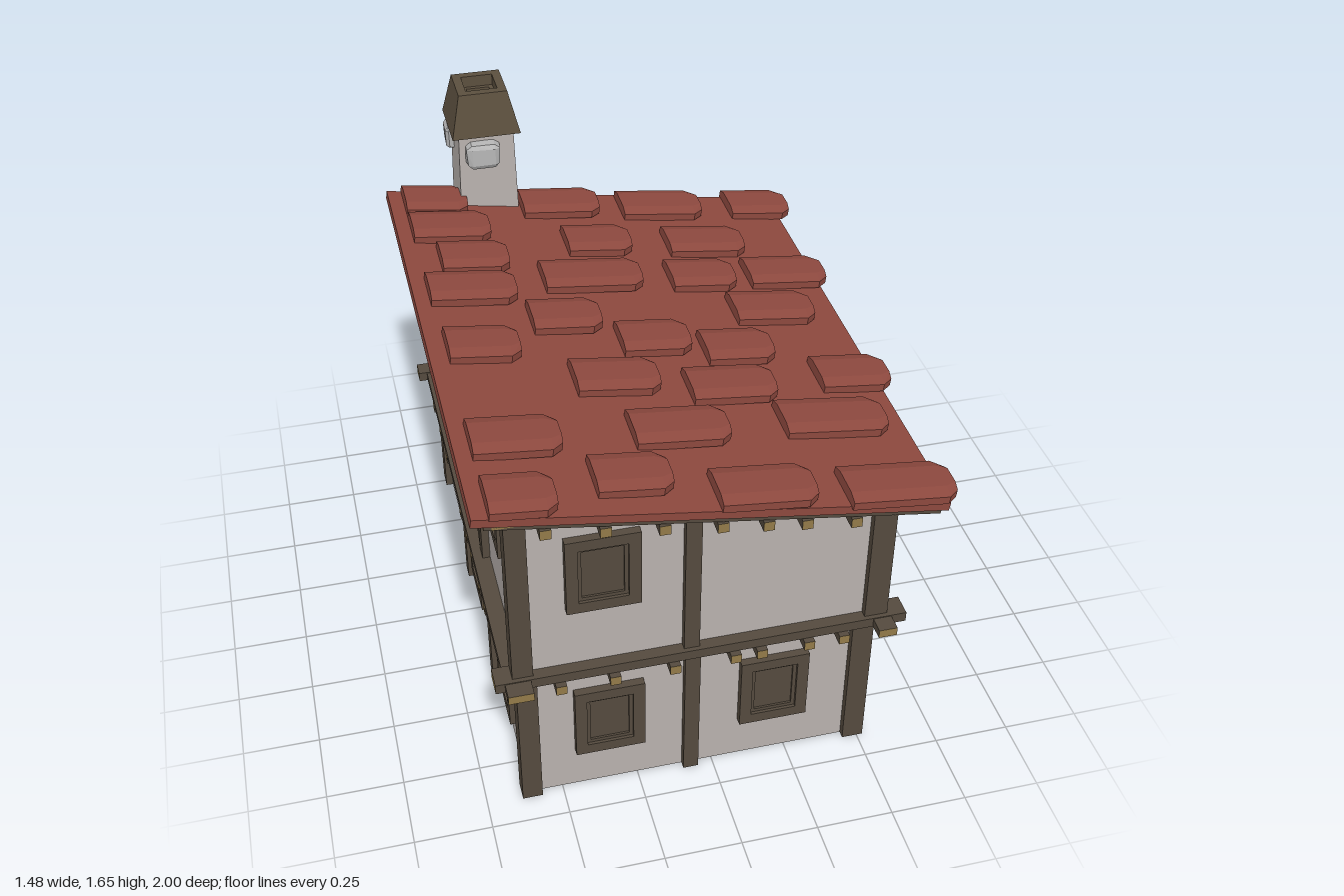
import * as THREE from 'three';
import { ConvexGeometry } from 'three/addons/geometries/ConvexGeometry.js';

const mat = (name, color, extra = {}) => Object.assign(new THREE.MeshStandardMaterial({ color, flatShading: true, ...extra }), { name });

export function createModel() {
  const house = new THREE.Group();
  house.name = 'timberHouse';
  const plaster = mat('plaster', 0xb8b1ad);
  const wood = mat('darkTimber', 0x544a3e);
  const endGrain = mat('endGrain', 0x927a48);
  const roofRed = mat('roofTile', 0x8c483e);
  const stone = mat('stone', 0xb6b6b6);
  const capBrown = mat('chimneyCap', 0x5b4f3e);
  const iron = mat('iron', 0x2c2721);

  let seed = 7;
  const rand = () => (seed = (seed * 16807) % 2147483647) / 2147483647;

  const add = (name, geometry, material, parent = house) => {
    const m = new THREE.Mesh(geometry, material);
    m.name = name;
    parent.add(m);
    return m;
  };
  // Box from its limits
  const box = (name, x0, x1, y0, y1, z0, z1, material = wood, parent = house) => {
    const m = add(name, new THREE.BoxGeometry(x1 - x0, y1 - y0, z1 - z0), material, parent);
    m.position.set((x0 + x1) / 2, (y0 + y1) / 2, (z0 + z1) / 2);
    return m;
  };
  const endsX = [endGrain, endGrain, wood, wood, wood, wood];
  const endsZ = [wood, wood, wood, wood, endGrain, endGrain];
  const slope = 0.16, tilt = -Math.atan(slope);
  const underRoof = (x) => 1.122 - slope * x;
  const polygon = (pts) => new THREE.Shape(pts.map(([x, y]) => new THREE.Vector2(x, y)));
  const extrude = (shape, depth) => new THREE.ExtrudeGeometry(shape, { depth, bevelEnabled: false });

  // Walls
  for (const [z, side] of [[0.865, 'front'], [-0.755, 'back']]) {
    box(side + 'LowerWall', -0.61, 0.5, 0, 0.53, z, z + 0.02, plaster);
    const gable = polygon([[-0.615, 0.53], [0.54, 0.53], [0.54, underRoof(0.54)], [-0.615, underRoof(-0.615)]]);
    add(side + 'UpperWall', extrude(gable, 0.02), plaster).position.z = z;
  }
  box('leftLowerWall', -0.61, -0.59, 0, 0.53, -0.755, 0.885, plaster);
  box('leftUpperWall', -0.615, -0.595, 0.53, 1.21, -0.755, 0.885, plaster);
  box('rightLowerWall', 0.48, 0.5, 0, 0.53, -0.755, 0.885, plaster);
  box('rightUpperWall', 0.52, 0.54, 0.53, 1.03, -0.755, 0.885, plaster);

  // Posts on the front and back
  for (const [z0, z1] of [[0.845, 0.91], [-0.785, -0.72]]) {
    box('lowerPost', -0.635, -0.57, 0, 0.52, z0, z1);
    box('lowerPost', -0.1, -0.05, 0, 0.52, z0, z1);
    box('lowerPost', 0.45, 0.52, 0, 0.52, z0, z1);
    box('upperPost', -0.645, -0.58, 0.54, 1.21, z0, z1);
    box('upperPost', -0.105, -0.055, 0.54, 1.12, z0, z1);
    box('upperPost', 0.485, 0.56, 0.54, 1.03, z0, z1);
  }
  // Posts on the long sides
  box('rightLowerPost', 0.47, 0.52, 0, 0.52, 0.325, 0.375);
  for (const z of [0.325, -0.205, 0.605, -0.47]) box('rightUpperPost', 0.51, 0.558, 0.54, 1.03, z - 0.025, z + 0.025);
  for (const z of [0.32, -0.2]) {
    box('leftLowerPost', -0.635, -0.59, 0, 0.52, z - 0.025, z + 0.025);
    box('leftUpperPost', -0.64, -0.59, 0.54, 1.21, z - 0.025, z + 0.025);
  }
  box('leftUpperPost', -0.64, -0.59, 0.54, 1.21, 0.035, 0.085);

  // Diagonal braces
  const brace = (x, zTop, yTop, zEnd, yEnd) => {
    const m = add('brace', new THREE.BoxGeometry(0.045, 0.04, Math.hypot(zEnd - zTop, yEnd - yTop)), wood);
    m.position.set(x, (yTop + yEnd) / 2, (zTop + zEnd) / 2);
    m.rotation.x = -Math.atan2(yEnd - yTop, zEnd - zTop);
  };
  for (const z of [0.605, -0.47]) for (const s of [-1, 1]) brace(0.532, z, 0.85, z + s * 0.26, 0.555);
  for (const s of [-1, 1]) brace(-0.617, 0.06, 0.9, 0.06 + s * 0.25, 0.555);

  // Floor beams
  box('frontFloorBeam', -0.7, 0.62, 0.515, 0.55, 0.85, 0.925, endsX);
  box('backFloorBeam', -0.7, 0.62, 0.515, 0.55, -0.79, -0.73, endsX);
  box('rightFloorBeam', 0.51, 0.57, 0.517, 0.547, -0.79, 0.98, endsZ);
  box('leftFloorBeam', -0.67, -0.59, 0.517, 0.547, -0.79, 0.98, endsZ);

  // Joist ends below the floor and the roof
  for (const x of [-0.5, -0.33, -0.14, 0.055, 0.14, 0.295, 0.41]) {
    box('floorJoist', x - 0.017, x + 0.017, 0.483, 0.516, 0.82, 0.945, endsZ);
    box('floorJoist', x - 0.017, x + 0.017, 0.483, 0.516, -0.82, -0.7, endsZ);
  }
  for (const z of [0.81, 0.53, 0.43, 0.27, 0.17, 0.04, -0.27, -0.42, -0.58]) {
    box('floorJoist', 0.44, 0.585, 0.483, 0.517, z - 0.016, z + 0.016, endsX);
    box('floorJoist', -0.67, -0.56, 0.483, 0.517, z - 0.016, z + 0.016, endsX);
  }
  for (const x of [-0.53, -0.355, -0.18, -0.005, 0.135, 0.255, 0.41]) {
    const y = underRoof(x) - 0.045;
    box('roofJoist', x - 0.017, x + 0.017, y - 0.034, y, 0.84, 0.955, endsZ);
    box('roofJoist', x - 0.017, x + 0.017, y - 0.034, y, -0.83, -0.72, endsZ);
  }
  for (const z of [0.77, 0.53, 0.37, 0.17, -0.02, -0.16, -0.34, -0.47, -0.65]) {
    box('roofJoist', 0.5, 0.63, 0.962, 0.997, z - 0.017, z + 0.017, endsX);
    box('roofJoist', -0.71, -0.58, 1.165, 1.2, z - 0.017, z + 0.017, endsX);
  }

  // Roof beams
  for (const [z0, z1] of [[0.87, 0.95], [-0.8, -0.73]]) {
    const m = box('slopingRoofBeam', -0.71, 0.69, -0.018, 0.018, z0, z1, endsX);
    m.position.y = underRoof(-0.01) - 0.023;
    m.rotation.z = tilt;
  }
  box('rightRoofBeam', 0.53, 0.6, 0.995, 1.03, -0.8, 0.95, endsZ);
  box('leftRoofBeam', -0.68, -0.6, 1.19, 1.222, -0.8, 0.95, endsZ);

  // Planked ceiling with a lattice of beams
  box('floorSlab', -0.6, 0.5, 0.5, 0.515, -0.75, 0.88, wood);
  for (let i = 0; i < 7; i++) box('ceilingBeam', -0.59, 0.48, 0.465, 0.5, -0.59 + i * 0.22, -0.55 + i * 0.22);
  for (let i = 0; i < 5; i++) box('ceilingCrossBeam', -0.48 + i * 0.2, -0.44 + i * 0.2, 0.475, 0.5, -0.75, 0.87);

  // Windows: frame, inner bead and pane, built facing +z
  const frame = (w, h, b, d) => {
    const rect = (a, c) => [[-a, -c], [a, -c], [a, c], [-a, c]];
    const shape = polygon(rect(w / 2, h / 2));
    shape.holes.push(polygon(rect(w / 2 - b, h / 2 - b).reverse()));
    return extrude(shape, d).translate(0, 0, -d / 2);
  };
  const makeWindow = (x, y, z, w, h, turn = 0) => {
    const g = new THREE.Group();
    g.name = 'window';
    add('windowFrame', frame(w, h, 0.038, 0.07), wood, g);
    add('windowBead', frame(w - 0.076, h - 0.076, 0.012, 0.05), wood, g);
    add('windowPane', new THREE.BoxGeometry(w - 0.09, h - 0.09, 0.036), wood, g);
    g.position.set(x, y, z);
    g.rotation.y = turn;
    house.add(g);
  };
  makeWindow(-0.355, 0.92, 0.877, 0.23, 0.28);
  makeWindow(-0.342, 0.295, 0.877, 0.225, 0.27);
  makeWindow(0.198, 0.295, 0.877, 0.225, 0.27);
  makeWindow(0.53, 0.86, 0.065, 0.31, 0.18, Math.PI / 2);
  for (const z of [0.07, 0.62]) makeWindow(-0.602, 0.295, z, 0.225, 0.27, -Math.PI / 2);
  for (const z of [-0.47, 0.59]) makeWindow(-0.607, 0.99, z, 0.31, 0.19, -Math.PI / 2);

  // Door with flared jambs, planks and handle
  const door = new THREE.Group();
  door.name = 'door';
  house.add(door);
  for (const s of [-1, 1]) {
    const jamb = polygon([[0.112, 0], [0.168, 0], [0.163, 0.1], [0.163, 0.515], [0.112, 0.515]].map(([u, v]) => [u * s, v]));
    const m = add('doorJamb', extrude(jamb, 0.06), wood, door);
    m.rotation.y = Math.PI / 2;
    m.position.set(0.47, 0, 0.615);
  }
  box('doorLintel', 0.47, 0.53, 0.39, 0.43, 0.5, 0.73, wood, door);
  box('doorBacking', 0.475, 0.505, 0, 0.39, 0.5, 0.73, iron, door);
  for (let i = 0; i < 5; i++) box('doorPlank', 0.49, 0.515, 0.018, 0.388, 0.505 + i * 0.046, 0.541 + i * 0.046, wood, door);
  box('handlePlate', 0.514, 0.521, 0.155, 0.21, 0.517, 0.535, iron, door);
  const ring = add('handleRing', new THREE.TorusGeometry(0.014, 0.004, 6, 12), iron, door);
  ring.position.set(0.523, 0.165, 0.526);
  ring.rotation.y = Math.PI / 2;

  // Roof slab and scattered raised tiles, in the sloping plane
  const roof = new THREE.Group();
  roof.name = 'roof';
  roof.position.y = 1.15;
  roof.rotation.z = tilt;
  house.add(roof);
  box('roofSlab', -0.75, 0.7, -0.028, 0, -0.865, 0.985, roofRed, roof);
  const tiles = [
    [-0.70, -0.48, -0.78], [-0.28, 0, -0.77], [0.09, 0.39, -0.77], [0.51, 0.74, -0.79], [-0.70, -0.43, -0.59],
    [-0.17, 0.06, -0.51], [0.20, 0.48, -0.51], [-0.63, -0.40, -0.39], [-0.30, 0.04, -0.27], [0.15, 0.38, -0.28],
    [0.44, 0.72, -0.30], [-0.70, -0.41, -0.19], [-0.39, -0.16, -0.02], [0.32, 0.60, -0.07], [-0.69, -0.46, 0.14],
    [-0.12, 0.11, 0.11], [0.15, 0.38, 0.165], [-0.32, -0.05, 0.325], [0.04, 0.32, 0.38], [0.49, 0.73, 0.325],
    [-0.70, -0.43, 0.63], [-0.20, 0.10, 0.60], [0.29, 0.63, 0.565], [-0.37, -0.14, 0.82], [-0.70, -0.50, 0.90],
    [-0.02, 0.28, 0.90], [0.38, 0.72, 0.91],
  ];
  for (const [x0, x1, z] of tiles) {
    const L = x1 - x0, pts = [];
    // Arched top over a flat base, with a narrowed lower end
    for (const [x, k] of [[0, 1], [L - 0.035, 1], [L, 0.65]])
      for (const [u, y] of [[-1, -0.012], [-1, 0.014], [-0.55, 0.026], [0.55, 0.026], [1, 0.014], [1, -0.012]])
        pts.push(new THREE.Vector3(x, y, u * 0.088 * k));
    const m = add('raisedTile', new ConvexGeometry(pts), roofRed, roof);
    m.position.set(x0, 0.008, z);
    m.rotation.z = 0.02 + rand() * 0.03;
  }

  // Tapered chimney
  const shaft = new THREE.BoxGeometry(1, 1.52, 1);
  const p = shaft.attributes.position;
  for (let i = 0; i < p.count; i++) {
    const top = p.getY(i) > 0;
    const [x0, x1, z0, z1] = top ? [-0.48, -0.287, -0.957, -0.775] : [-0.525, -0.265, -0.968, -0.745];
    p.setXYZ(i, p.getX(i) < 0 ? x0 : x1, top ? 1.52 : 0, p.getZ(i) < 0 ? z0 : z1);
  }
  shaft.computeVertexNormals();
  add('chimneyShaft', shaft, plaster);
  const profile = [[0, 0], [0.12, 0], [0.085, 0.15], [0.055, 0.15], [0.055, 0.11], [0.04, 0.11], [0.04, 0.07], [0, 0.07]]
    .map(([r, y]) => new THREE.Vector2(r * Math.SQRT2, y));
  const cap = add('chimneyCap', new THREE.LatheGeometry(profile, 4).rotateY(Math.PI / 4), capBrown);
  cap.position.set(-0.385, 1.5, -0.868);

  // Irregular stones set into the chimney
  const makeStone = (x, y, z, w, h, d) => {
    const pts = [];
    for (const sx of [-1, 1]) for (const sy of [-1, 1]) for (const sz of [-1, 1]) {
      const j = () => 0.9 + rand() * 0.15, c = 0.62 + rand() * 0.15;
      for (const [a, b, e] of [[c, j(), c], [j(), c, c], [c, c, j()]])
        pts.push(new THREE.Vector3(sx * a * w / 2, sy * b * h / 2, sz * e * d / 2));
    }
    add('chimneyStone', new ConvexGeometry(pts), stone).position.set(x, y, z);
  };
  makeStone(-0.4, 1.43, -0.765, 0.12, 0.09, 0.08);
  for (const [x, y] of [[-0.36, 1.28], [-0.36, 1.02], [-0.29, 0.72], [-0.34, 0.53]]) makeStone(x, y, -0.96, 0.11, 0.085, 0.075);
  for (const [x, y] of [[-0.475, 1.43], [-0.485, 1.12], [-0.5, 0.72], [-0.505, 0.35]]) makeStone(x, y, -0.94, 0.07, 0.085, 0.1);
  for (const [y, z] of [[0.93, -0.88], [0.4, -0.84]]) makeStone(-0.265, y, z, 0.08, 0.085, 0.115);

  return house;
}
